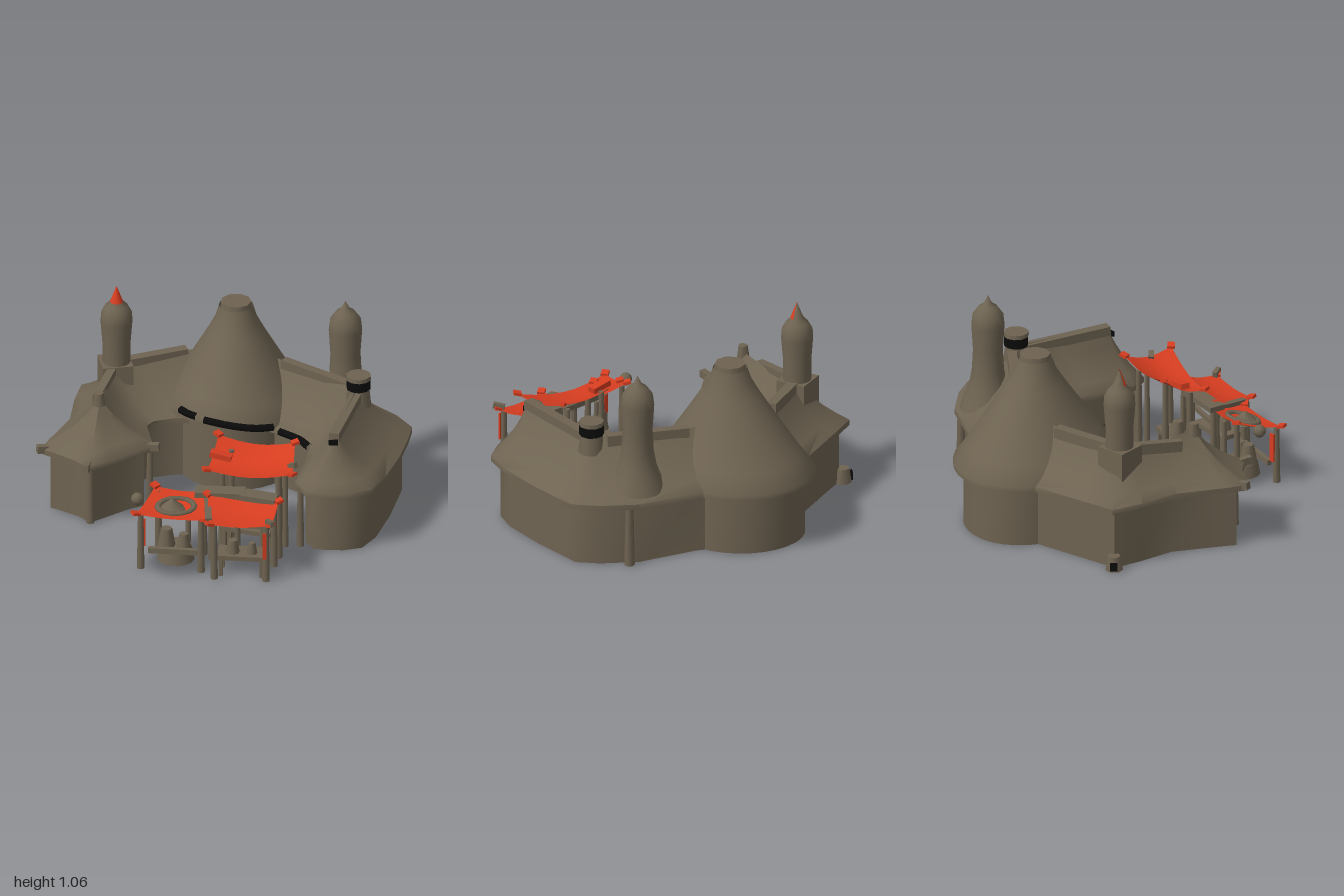
import * as THREE from 'three';
import { mergeVertices, toCreasedNormals } from 'three/addons/utils/BufferGeometryUtils.js';

const mat = (name, color, side = THREE.FrontSide) => {
  const m = new THREE.MeshStandardMaterial({ color, side });
  m.name = name;
  return m;
};
const brown = mat('clay brown', 0x6e6351, THREE.DoubleSide);
const red = mat('canvas red', 0xd63d20, THREE.DoubleSide);
const black = mat('soot black', 0x0b0b0b);

const V = (x, y, z) => new THREE.Vector3(x, y, z);

export function createModel() {
  const root = new THREE.Group();
  root.name = 'village';

  const add = (name, geo, material, x = 0, y = 0, z = 0, parent = root) => {
    const m = new THREE.Mesh(geo, material);
    m.name = name;
    m.position.set(x, y, z);
    parent.add(m);
    return m;
  };

  // Walls and concave roof lofted from an eave loop; each entry is [eaveX, eaveZ, ridgeX, ridgeY, ridgeZ, eaveLift]
  const building = (name, loop, profile) => {
    const n = loop.length, rows = [[], [], [], []];
    const footprint = [];
    profile.forEach(() => rows.push([]));
    for (const [ex, ez, rx, ry, rz, lift = 0] of loop) {
      const k = 0.055 / Math.hypot(rx - ex, rz - ez), top = 0.36 + lift;
      const wx = ex + (rx - ex) * k, wz = ez + (rz - ez) * k;
      footprint.push(new THREE.Vector2(wx, wz));
      rows[0].push([wx, 0, wz]);
      rows[1].push([wx, 0.338 + lift, wz]);
      rows[2].push([ex, 0.33 + lift, ez]);
      rows[3].push([ex, top, ez]);
      profile.forEach(([t, g], i) =>
        rows[4 + i].push([ex + (rx - ex) * t, top + (ry - top) * g, ez + (rz - ez) * t]));
    }
    const idx = [];
    for (let r = 0; r < rows.length - 1; r++) for (let i = 0; i < n; i++) {
      const a = r * n + i, b = r * n + (i + 1) % n;
      idx.push(a, b, b + n, a, b + n, a + n);
    }
    const g = new THREE.BufferGeometry();
    g.setAttribute('position', new THREE.Float32BufferAttribute(rows.flat(2), 3));
    g.setIndex(idx);
    add(name, toCreasedNormals(mergeVertices(g), 0.95), brown);
    const floor = new THREE.ShapeGeometry(new THREE.Shape(footprint));
    floor.rotateX(Math.PI / 2);
    add(name + 'Floor', floor, brown);
  };

  const beam = (name, a, b, w, h, material = brown) => {
    const m = add(name, new THREE.BoxGeometry(w, h, a.distanceTo(b)), material);
    m.position.copy(a).lerp(b, 0.5);
    m.lookAt(b);
    return m;
  };
  const post = (x, z, h, r = 0.018, name = 'post') =>
    add(name, new THREE.CylinderGeometry(r * 0.85, r * 1.15, h, 7), brown, x, h / 2, z);
  const lathe = (name, pts, x, z) =>
    add(name, new THREE.LatheGeometry(pts.map(p => new THREE.Vector2(...p)), 20), brown, x, 0, z);

  const wingProfile = [[0.25, 0.17], [0.5, 0.37], [0.75, 0.64], [0.92, 0.88], [1, 1]];
  const domeProfile = [[0.2, 0.16], [0.5, 0.44], [0.8, 0.73], [0.93, 0.87], [1, 1]];

  // Great central hall, its eave lifted over the yard entrance
  const dome = [];
  for (let i = 0; i < 32; i++) {
    const a = i * Math.PI / 16, s = Math.sin(a), c = Math.cos(a);
    const lift = 0.07 * Math.max(0, Math.cos(a + 0.45)) ** 2;
    dome.push([0.075 + (s > 0 ? 0.415 : 0.365) * s, -0.525 + 0.445 * c,
      0.095 + 0.09 * s, 0.92, -0.5 + 0.09 * c, lift]);
  }
  building('hall', dome, domeProfile);
  add('hallChimney', new THREE.CylinderGeometry(0.082, 0.09, 0.05, 9), brown, 0.095, 0.918, -0.5);

  // Left wing, ending in a pointed front roof
  const apex = [-0.66, 0.61, -0.07];
  building('leftWing', [
    [0, -0.83, 0, 0.62, -0.6], [-0.2, -0.8, -0.2, 0.62, -0.57], [-0.5, -0.755, -0.45, 0.61, -0.52],
    [-0.71, -0.72, -0.55, 0.6, -0.48], [-0.76, -0.55, -0.57, 0.59, -0.4], [-0.8, -0.33, -0.61, 0.57, -0.28],
    [-0.93, -0.1, ...apex], [-0.98, 0, ...apex], [-0.92, 0.05, ...apex], [-0.82, 0.14, ...apex],
    [-0.75, 0.23, ...apex], [-0.63, 0.17, ...apex], [-0.46, 0.06, ...apex], [-0.38, 0.02, ...apex],
    [-0.39, -0.08, ...apex], [-0.4, -0.22, -0.61, 0.57, -0.28], [-0.36, -0.27, -0.55, 0.6, -0.48],
    [-0.23, -0.3, -0.45, 0.61, -0.52], [-0.17, -0.29, -0.2, 0.62, -0.57], [0, -0.25, 0, 0.62, -0.6],
  ], wingProfile);
  add('apexKnob', new THREE.CylinderGeometry(0.025, 0.035, 0.07, 7), brown, -0.665, 0.61, -0.07);
  for (const [x, z] of [[-0.97, 0], [-0.755, 0.23], [-0.38, 0.02]]) {
    const d = V(x + 0.66, 0, z + 0.07).normalize();
    beam('eaveHorn', V(x - d.x * 0.07, 0.352, z - d.z * 0.07), V(x + d.x * 0.03, 0.362, z + d.z * 0.03), 0.035, 0.04);
  }

  // Right wing, bent around the yard
  const r0 = [0.22, 0.63, -0.5], r1 = [0.36, 0.63, -0.38], r2 = [0.55, 0.63, -0.2],
    r3 = [0.7, 0.64, -0.03], r4 = [0.63, 0.64, 0.2], r5 = [0.545, 0.64, 0.48];
  building('rightWing', [
    [0.1, -0.3, ...r0], [0.28, -0.13, ...r1], [0.4, -0.01, ...r2], [0.445, 0.08, ...r3], [0.4, 0.27, ...r4],
    [0.335, 0.48, ...r5], [0.38, 0.595, ...r5], [0.48, 0.635, ...r5], [0.6, 0.645, ...r5], [0.73, 0.6, ...r5],
    [0.82, 0.45, ...r5], [0.91, 0.23, ...r4], [0.97, 0.03, ...r3], [1, -0.1, ...r3], [0.93, -0.24, ...r3],
    [0.8, -0.4, ...r2], [0.5, -0.58, ...r1], [0.3, -0.75, ...r0],
  ], wingProfile);

  // Ridge beams
  beam('ridgeBeam', V(0.34, 0.61, -0.4), V(0.67, 0.61, -0.1), 0.05, 0.06);
  beam('ridgeBeam', V(0.7, 0.61, 0), V(0.54, 0.62, 0.49), 0.055, 0.05);
  beam('ridgeBeam', V(-0.5, 0.585, -0.51), V(-0.16, 0.6, -0.59), 0.055, 0.06);
  beam('ridgeBeam', V(-0.56, 0.58, -0.45), V(-0.67, 0.55, -0.17), 0.045, 0.06);
  add('beamEnd', new THREE.BoxGeometry(0.05, 0.03, 0.009), black, 0.537, 0.597, 0.502);

  // Squat chimney on the right ridge
  add('chimneyFoot', new THREE.CylinderGeometry(0.06, 0.07, 0.1, 10), brown, 0.71, 0.592, -0.03);
  add('chimney', new THREE.CylinderGeometry(0.065, 0.065, 0.055, 10), black, 0.71, 0.67, -0.03);
  add('chimneyCap', new THREE.CylinderGeometry(0.066, 0.068, 0.022, 10), brown, 0.71, 0.709, -0.03);

  // Towers
  lathe('rightTower', [[0.15, 0.38], [0.125, 0.45], [0.1, 0.52], [0.086, 0.6], [0.08, 0.72], [0.089, 0.86],
    [0.082, 0.92], [0.05, 0.965], [0.022, 0.985], [0, 1.03]], 0.66, -0.29);
  lathe('leftTower', [[0.075, 0.45], [0.075, 0.72], [0.085, 0.85], [0.082, 0.9], [0.06, 0.94],
    [0.035, 0.965], [0, 1.05]], -0.54, -0.5);
  add('towerTip', new THREE.ConeGeometry(0.042, 0.11, 10, 1, true, -Math.PI / 2, Math.PI), red, -0.54, 1.002, -0.499);
  const base = add('towerBase', new THREE.BoxGeometry(0.165, 0.16, 0.165), brown, -0.545, 0.53, -0.5);
  base.rotation.y = 0.1;

  // Sooty eaves on the yard side
  const soot = pts => add('sootyEave', new THREE.TubeGeometry(
    new THREE.CatmullRomCurve3(pts.map(p => V(...p))), 16, 0.022, 6), black);
  soot([[-0.215, 0.425, -0.27], [-0.18, 0.425, -0.22], [-0.135, 0.425, -0.18]]);
  soot([[-0.1, 0.422, -0.145], [-0.03, 0.418, -0.11], [0.075, 0.405, -0.085], [0.17, 0.39, -0.09], [0.26, 0.375, -0.125]]);
  soot([[0.3, 0.352, -0.115], [0.4, 0.352, -0.012], [0.443, 0.352, 0.08]]);

  // Wall posts and a stove pipe at the back corner
  post(0.81, -0.34, 0.33, 0.025, 'wallPost');
  post(-0.73, 0.17, 0.34, 0.02, 'wallPost');
  post(-0.4, 0.0, 0.33, 0.018, 'wallPost');
  post(0.36, 0.52, 0.35, 0.018, 'wallPost');
  post(-0.69, -0.69, 0.08, 0.042, 'backPipe');
  const mouth = add('pipeMouth', new THREE.BoxGeometry(0.04, 0.045, 0.009), black, -0.724, 0.035, -0.724);
  mouth.rotation.y = Math.PI / 4;

  // Sagging cloth patch between four corners given in order around the edge
  const canopy = (c, sag, inset) => {
    const g = new THREE.PlaneGeometry(1, 1, 8, 8), p = g.attributes.position;
    for (let i = 0; i < p.count; i++) {
      const u = p.getX(i) + 0.5, v = p.getY(i) + 0.5;
      const q = c[0].clone().lerp(c[1], u).lerp(c[3].clone().lerp(c[2], u), v);
      q.y -= sag * 0.5 * (Math.sin(Math.PI * u) + Math.sin(Math.PI * v));
      p.setXYZ(i, q.x, q.y, q.z);
    }
    g.computeVertexNormals();
    add('canopy', g, red);
    c.forEach((q, i) => {
      const across = c[(i + 2) % 4], foot = q.clone().lerp(across, inset);
      post(foot.x, foot.z, foot.y - sag * (0.2 + 3 * inset));
      const dir = q.clone().sub(across).setY(0).normalize();
      beam('canopyCorner', q.clone().addScaledVector(dir, -0.02), q.clone().addScaledVector(dir, 0.02).setY(q.y + 0.01),
        0.04, 0.016, red);
    });
  };
  canopy([V(-0.14, 0.475, 0.53), V(0.3, 0.525, 0.72), V(0.34, 0.555, 0.41), V(-0.06, 0.57, 0.31)], 0.065, 0.18);
  canopy([V(-0.15, 0.325, 0.87), V(0.17, 0.335, 0.93), V(0.23, 0.375, 0.73), V(-0.14, 0.375, 0.62)], 0.03, 0.07);
  canopy([V(-0.53, 0.325, 0.72), V(-0.17, 0.315, 0.8), V(-0.13, 0.365, 0.57), V(-0.41, 0.375, 0.5)], 0.025, 0.07);
  beam('canopyFlap', V(-0.11, 0.52, 0.42), V(0, 0.5, 0.45), 0.05, 0.03, red);
  beam('canopyPeg', V(0.155, 0.345, 0.9), V(0.18, 0.355, 0.955), 0.025, 0.03);
  beam('canopyPeg', V(0.3, 0.5, 0.57), V(0.33, 0.52, 0.6), 0.03, 0.03);

  // Awning rails between the stalls
  beam('rail', V(-0.2, 0.37, 0.57), V(0.06, 0.375, 0.62), 0.09, 0.03);
  beam('rail', V(0.04, 0.375, 0.63), V(0.22, 0.37, 0.7), 0.09, 0.03);
  beam('rail', V(-0.14, 0.34, 0.6), V(-0.15, 0.32, 0.82), 0.035, 0.03);

  // Round vent in the small canopy
  const vent = add('vent', new THREE.TorusGeometry(0.085, 0.016, 6, 14), brown, -0.31, 0.325, 0.65);
  vent.rotation.x = Math.PI / 2 + 0.2;
  vent.scale.set(1.15, 0.8, 1);
  add('ventCap', new THREE.ConeGeometry(0.075, 0.06, 10), brown, -0.33, 0.345, 0.65);
  add('lantern', new THREE.SphereGeometry(0.035, 8, 6), brown, -0.51, 0.34, 0.575);

  // Counters, benches and goods
  const table = (x, z, w, d, h, turn) => {
    const g = new THREE.Group();
    g.name = 'table';
    g.position.set(x, 0, z);
    g.rotation.y = turn;
    add('tableTop', new THREE.BoxGeometry(w, 0.025, d), brown, 0, h, 0, g);
    for (const sx of [-1, 1]) for (const sz of [-1, 1])
      add('tableLeg', new THREE.BoxGeometry(0.022, h, 0.022), brown, sx * w * 0.42, h / 2, sz * d * 0.38, g);
    root.add(g);
  };
  table(0.03, 0.8, 0.26, 0.13, 0.11, -0.18);
  table(0.08, 0.54, 0.28, 0.12, 0.13, -0.4);
  beam('counterRail', V(-0.13, 0.22, 0.64), V(0.18, 0.23, 0.74), 0.02, 0.025);
  beam('counterRail', V(-0.46, 0.1, 0.7), V(-0.19, 0.11, 0.77), 0.025, 0.03);
  add('redCloth', new THREE.BoxGeometry(0.02, 0.15, 0.008), red, 0.137, 0.22, 0.94);
  add('redCloth', new THREE.BoxGeometry(0.03, 0.16, 0.008), red, -0.49, 0.2, 0.69);
  add('well', new THREE.CylinderGeometry(0.085, 0.1, 0.08, 14), brown, -0.31, 0.055, 0.64);
  const underside = add('wellBase', new THREE.CircleGeometry(0.17, 18), black, -0.29, 0.012, 0.65);
  underside.rotation.x = Math.PI / 2;
  for (const [x, y, z, r] of [[-0.36, 0.14, 0.64, 0.05], [-0.27, 0.13, 0.67, 0.04], [-0.02, 0.15, 0.8, 0.04],
    [0.08, 0.15, 0.82, 0.03], [0.06, 0.18, 0.53, 0.045]])
    add('jar', new THREE.CylinderGeometry(r * 0.6, r, r * 2.2, 8), brown, x, y, z);
  for (const [x, z, h] of [[0.28, 0.52, 0.48], [0.15, 0.66, 0.34], [-0.24, 0.58, 0.31], [0.02, 0.6, 0.34]])
    post(x, z, h, 0.015);

  return root;
}
